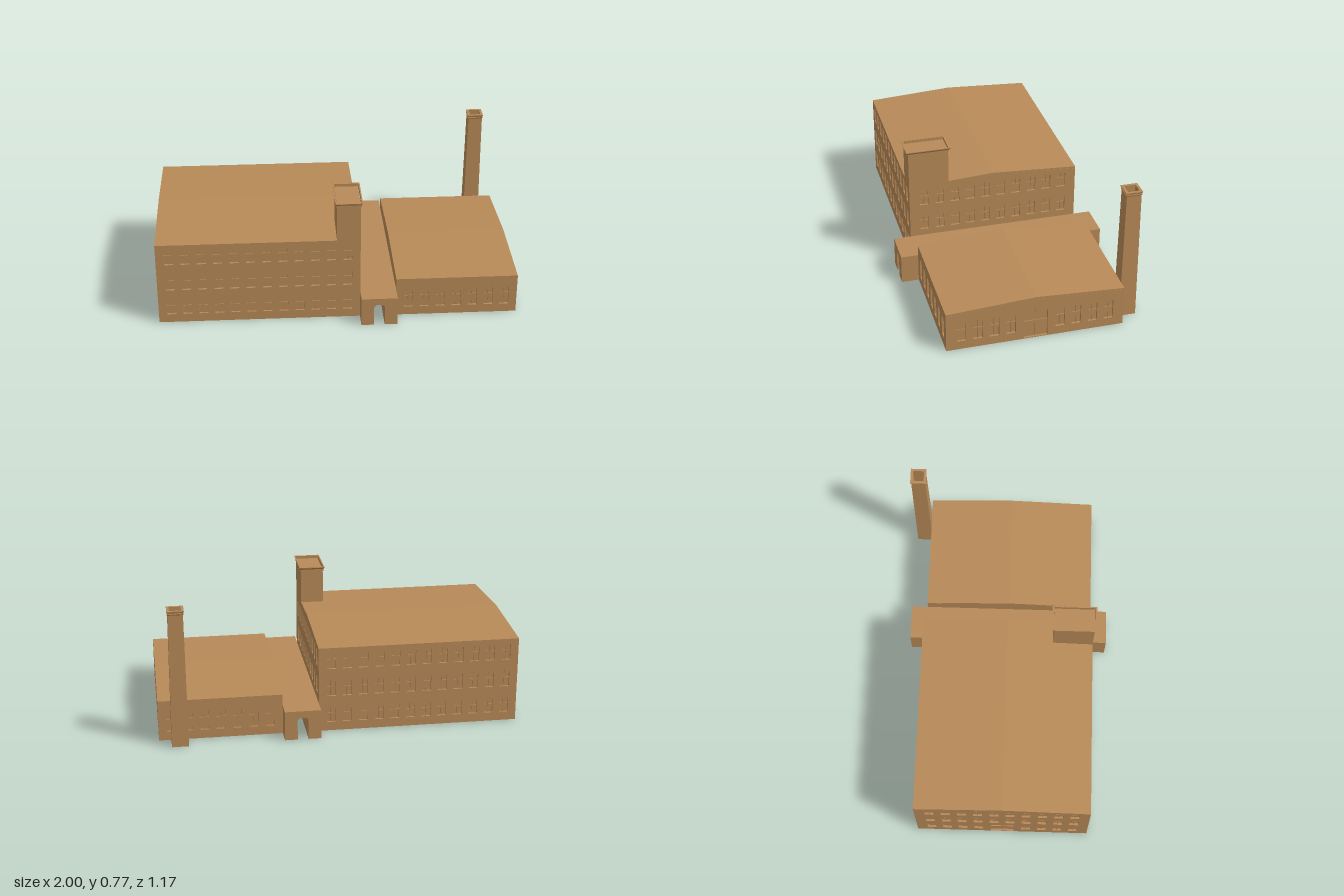
import * as THREE from 'three';
import { mergeGeometries } from 'three/addons/utils/BufferGeometryUtils.js';

const T = 0.012; // wall skin thickness
const brick = new THREE.MeshStandardMaterial({ color: 0xb88a58 });
brick.name = 'brick';
brick.flatShading = true;

function mesh(name, geometry, parent, x = 0, y = 0, z = 0) {
  const m = new THREE.Mesh(geometry, brick);
  m.name = name;
  m.position.set(x, y, z);
  parent.add(m);
  return m;
}

function polygon(points) {
  return new THREE.Shape(points.map(([x, y]) => new THREE.Vector2(x, y)));
}

const extrude = (shape, depth) =>
  new THREE.ExtrudeGeometry(shape, { depth, bevelEnabled: false, curveSegments: 6 });

// Opening with a shallow arched head
function archPath(u, w, y0, y1, rise) {
  const p = new THREE.Path();
  p.moveTo(u - w / 2, y0);
  p.lineTo(u + w / 2, y0);
  p.lineTo(u + w / 2, y1 - rise);
  p.quadraticCurveTo(u, y1 + rise, u - w / 2, y1 - rise);
  p.closePath();
  return p;
}

// A row of openings, leaving the middle free for a door when asked
function windowRow(count, spacing, y0, y1, doorway = false) {
  const row = [];
  for (let i = 0; i < count; i++) {
    const u = (i - (count - 1) / 2) * spacing;
    if (!doorway || Math.abs(u) > spacing) row.push({ u, w: 0.05, y0, y1, rise: 0.009 });
  }
  return row;
}

// Wall skin pierced by openings, with sash bars set inside them
function facade(name, parent, outline, openings, x, z, turn) {
  const wall = new THREE.Group();
  wall.name = name;
  wall.position.set(x, 0, z);
  wall.rotation.y = turn;
  parent.add(wall);
  const shape = polygon(outline);
  const bars = [];
  for (const o of openings) {
    shape.holes.push(archPath(o.u, o.w, o.y0, o.y1, o.rise));
    const h = o.y1 - o.y0;
    bars.push(new THREE.BoxGeometry(0.005, h, 0.005).translate(o.u, o.y0 + h / 2, 0));
    bars.push(new THREE.BoxGeometry(o.w, 0.005, 0.005).translate(o.u, o.y0 + h * 0.55, 0));
  }
  mesh('wallSkin', extrude(shape, T), wall, 0, 0, -T);
  if (bars.length) mesh('sashBars', mergeGeometries(bars), wall, 0, 0, -T + 0.002);
}

// Hall with a low gable roof running along x
function hall(name, parent, x0, x1, eave, ridge, D, rows) {
  const g = new THREE.Group();
  g.name = name;
  parent.add(g);
  const L = x1 - x0, cx = (x0 + x1) / 2, e = eave - T, r = ridge - T, d = D - T;
  const gable = (half, low, top) => [[-half, 0], [half, 0], [half, low], [0, top], [-half, low]];
  const core = extrude(polygon(gable(d, e, r)), L - 2 * T);
  core.translate(0, 0, -L / 2 + T).rotateY(Math.PI / 2);
  mesh('core', core, g, cx);
  const roof = extrude(polygon([[-D, e], [0, r], [D, e], [D, eave], [0, ridge], [-D, eave]]), L);
  roof.translate(0, 0, -L / 2).rotateY(Math.PI / 2);
  mesh('roof', roof, g, cx);
  const long = [[-L / 2, 0], [L / 2, 0], [L / 2, e], [-L / 2, e]];
  facade('frontWall', g, long, rows.long, cx, D, 0);
  facade('backWall', g, long, rows.long, cx, -D, Math.PI);
  facade('leftWall', g, gable(d, e, r), rows.left, x1, 0, Math.PI / 2);
  facade('rightWall', g, gable(d, e, r), rows.right, x0, 0, -Math.PI / 2);
}

// Square tube from a profile of [half width, height]
function squareTube(profile) {
  const pts = profile.map(([h, y]) => new THREE.Vector2(h * Math.SQRT2, y));
  const geo = new THREE.LatheGeometry(pts, 4).rotateY(Math.PI / 4).toNonIndexed();
  geo.computeVertexNormals();
  return geo;
}

export function createModel() {
  const model = new THREE.Group();
  model.name = 'factory';
  const door = { u: 0, w: 0.13, y0: 0.005, y1: 0.185, rise: 0.012 };
  const levels = [[0.05, 0.138], [0.205, 0.3], [0.365, 0.46]];

  // Three-storey hall
  const ends = (from, doorway) =>
    levels.slice(from).flatMap(([a, b], i) => windowRow(10, 0.09, a, b, doorway && i === 0));
  hall('mainHall', model, -1, 0.12, 0.487, 0.515, 0.488, {
    long: levels.flatMap(([a, b]) => windowRow(12, 0.089, a, b)),
    left: ends(1, false),
    right: [...ends(0, true), { ...door, y1: 0.16 }],
  });

  // Single-storey hall
  hall('lowHall', model, 0.32, 1, 0.23, 0.258, 0.488, {
    long: windowRow(7, 0.09, 0.05, 0.172),
    left: [...windowRow(10, 0.09, 0.05, 0.17, true), door],
    right: [],
  });

  // Link block with an arched passage running through it
  const link = new THREE.Shape();
  link.moveTo(0.12, 0);
  link.lineTo(0.19, 0);
  link.lineTo(0.19, 0.11);
  link.quadraticCurveTo(0.194, 0.127, 0.22, 0.127);
  link.quadraticCurveTo(0.246, 0.127, 0.25, 0.11);
  link.lineTo(0.25, 0);
  link.lineTo(0.32, 0);
  link.lineTo(0.32, 0.166);
  link.lineTo(0.12, 0.166);
  link.closePath();
  mesh('passageBlock', extrude(link, 1.17), model, 0, 0, -0.585);

  // Stair tower with a flared parapet
  const tower = new THREE.Group();
  tower.name = 'stairTower';
  tower.position.set(0.055, 0, 0.374);
  model.add(tower);
  mesh('towerShaft', new THREE.BoxGeometry(0.13, 0.225, 0.228), tower, 0, 0.5875, 0);
  const cap = squareTube([[0.46, 0.69], [0.46, 0.702], [0.5, 0.712], [0.5, 0.716],
    [0.455, 0.716], [0.455, 0.69], [0.46, 0.69]]);
  mesh('towerParapet', cap, tower).scale.set(0.148, 1, 0.252);

  // Tapering hollow chimney with a stepped cap
  const chimney = squareTube([[0.032, 0], [0.046, 0], [0.0405, 0.75], [0.044, 0.755], [0.044, 0.759],
    [0.041, 0.759], [0.041, 0.763], [0.0455, 0.768], [0.0455, 0.773], [0.031, 0.773], [0.032, 0]]);
  mesh('chimney', chimney, model, 0.8875, 0, -0.539);

  return model;
}
